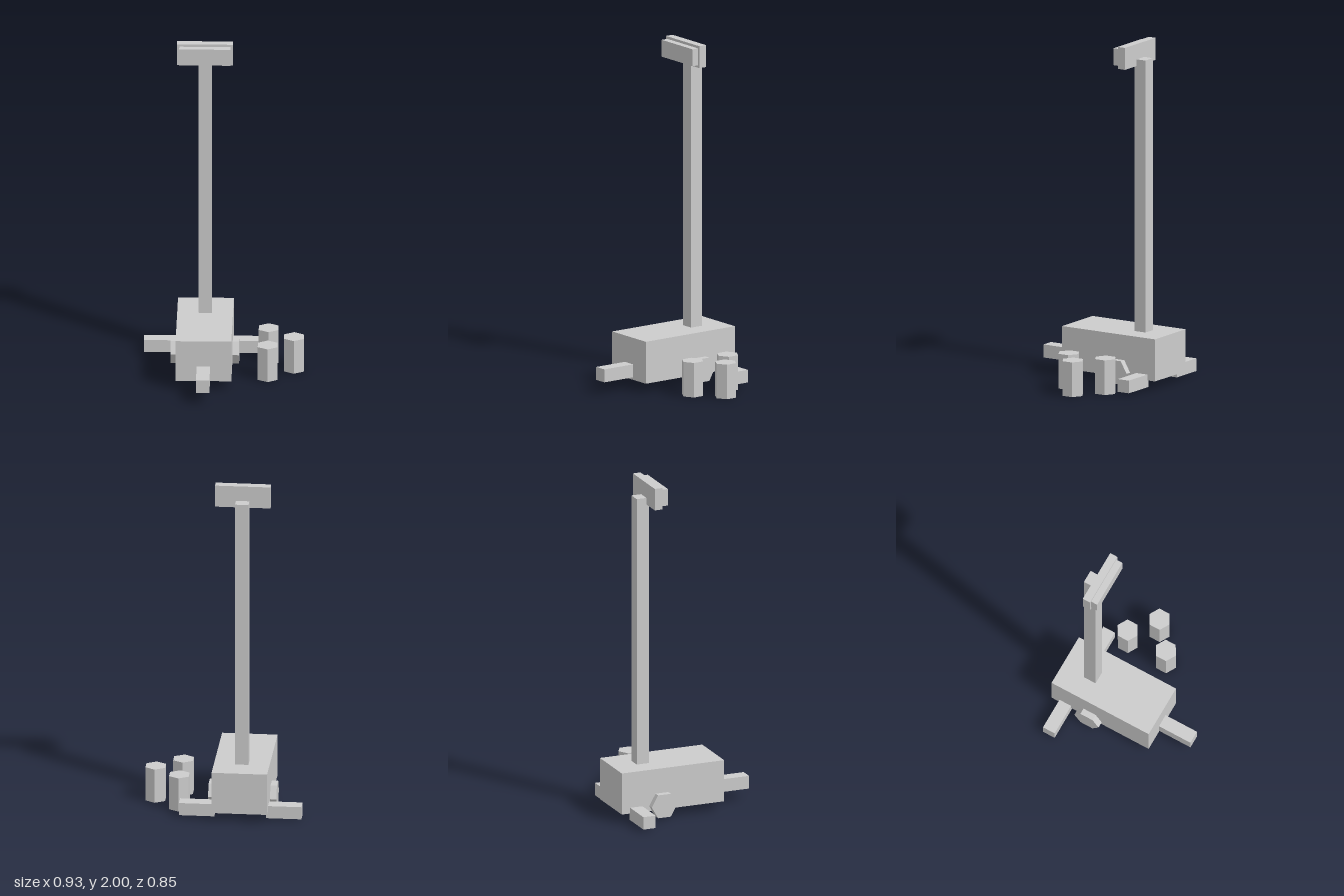
import * as THREE from 'three';

export function createModel() {
  const model = new THREE.Group();
  const grey = new THREE.MeshStandardMaterial({ color: 0xcccccc });
  grey.name = 'light grey';
  grey.flatShading = true;

  const add = (parent, name, geometry, x, y, z) => {
    const mesh = new THREE.Mesh(geometry, grey);
    mesh.name = name;
    mesh.position.set(x, y, z);
    parent.add(mesh);
    return mesh;
  };
  // Box given by its low and high limits on each axis
  const box = (parent, name, [x0, x1], [y0, y1], [z0, z1]) =>
    add(parent, name, new THREE.BoxGeometry(x1 - x0, y1 - y0, z1 - z0),
      (x0 + x1) / 2, (y0 + y1) / 2, (z0 + z1) / 2);

  // Wheeled robot, symmetrical about its own centre line
  const robot = new THREE.Group();
  robot.name = 'robot';
  robot.position.x = -0.11;
  model.add(robot);

  box(robot, 'base', [-0.161, 0.161], [0.053, 0.302], [-0.427, 0.216]);
  box(robot, 'frontArm', [-0.039, 0.039], [0.068, 0.145], [0.21, 0.424]);
  box(robot, 'mast', [-0.039, 0.039], [0.3, 1.91], [-0.281, -0.204]);

  // Display at the top of the mast
  box(robot, 'displayCase', [-0.161, 0.161], [1.87, 2], [-0.22, -0.172]);
  box(robot, 'displayScreen', [-0.148, 0.148], [1.885, 1.985], [-0.174, -0.132]);

  // Hexagonal wheels and rear side arms
  for (const side of [-1, 1]) {
    const label = side > 0 ? 'left' : 'right';
    const wheel = add(robot, label + 'Wheel',
      new THREE.CylinderGeometry(0.08, 0.08, 0.05, 6), side * 0.173, 0.084, -0.175);
    wheel.rotation.z = Math.PI / 2;
    add(robot, label + 'SideArm',
      new THREE.BoxGeometry(0.205, 0.075, 0.077), side * 0.2525, 0.05, -0.336);
  }

  // Three free-standing hexagonal posts
  const posts = new THREE.Group();
  posts.name = 'posts';
  model.add(posts);
  const postGeometry = new THREE.CylinderGeometry(0.066, 0.066, 0.205, 6);
  [[0.257, -0.22], [0.406, -0.093], [0.257, 0.033]].forEach(([x, z], i) =>
    add(posts, 'post' + (i + 1), postGeometry, x, 0.1025, z));

  return model;
}
